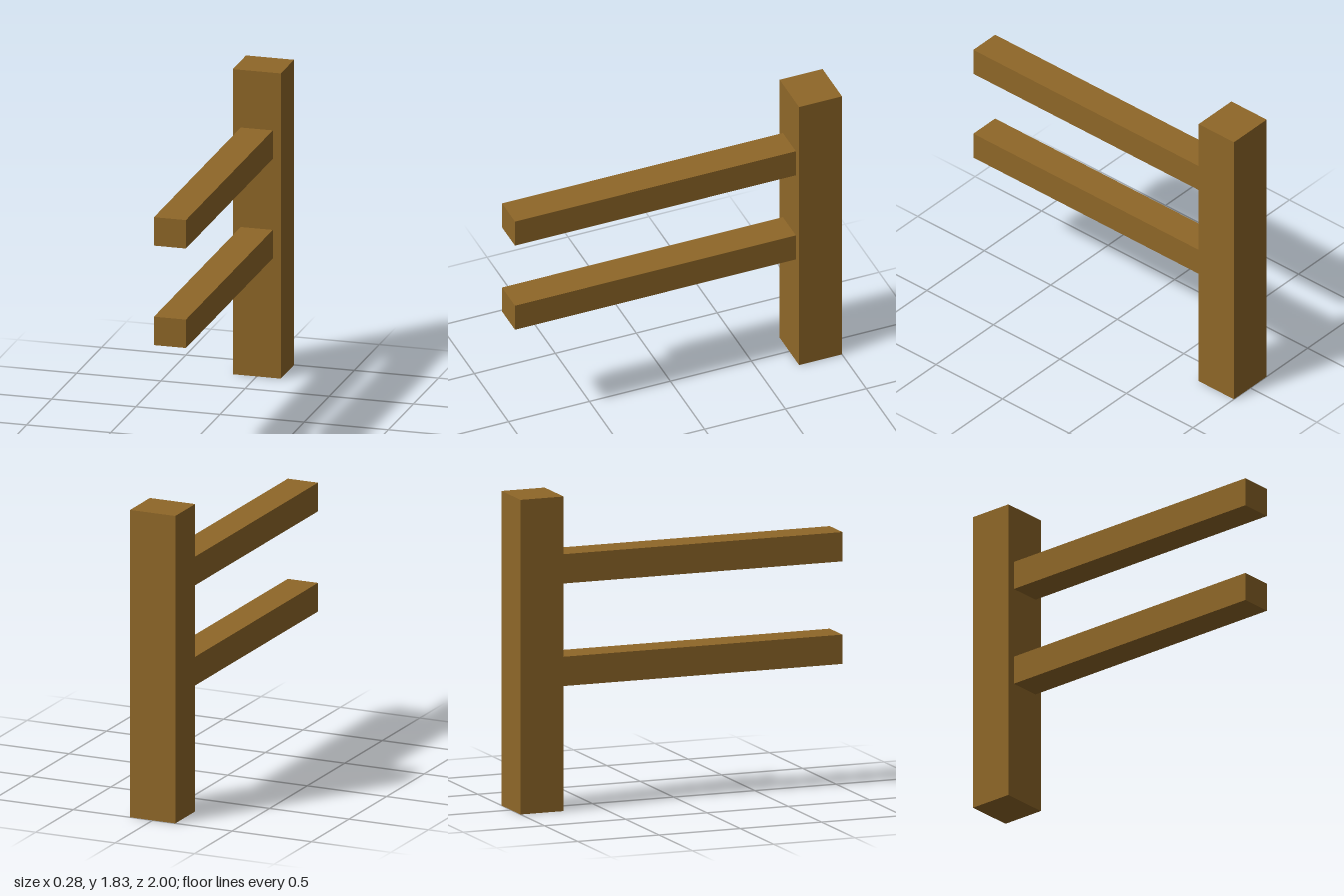
import * as THREE from 'three';

export function createModel() {
  const group = new THREE.Group();
  const wood = new THREE.MeshStandardMaterial({ color: 0x8f6728 });

  // Box placed by its bottom and its back face
  const beam = (name, width, height, depth, bottom, back) => {
    const mesh = new THREE.Mesh(new THREE.BoxGeometry(width, height, depth), wood);
    mesh.name = name;
    mesh.position.set(0, bottom + height / 2, back + depth / 2);
    group.add(mesh);
  };

  // Upright post at the back
  const postDepth = 0.265;
  beam('post', 0.285, 1.825, postDepth, 0, -1);

  // Two rails running forward from the post
  const railBack = -1 + postDepth;
  beam('lowerRail', 0.19, 0.17, 1 - railBack, 0.715, railBack);
  beam('upperRail', 0.19, 0.17, 1 - railBack, 1.31, railBack);

  return group;
}
